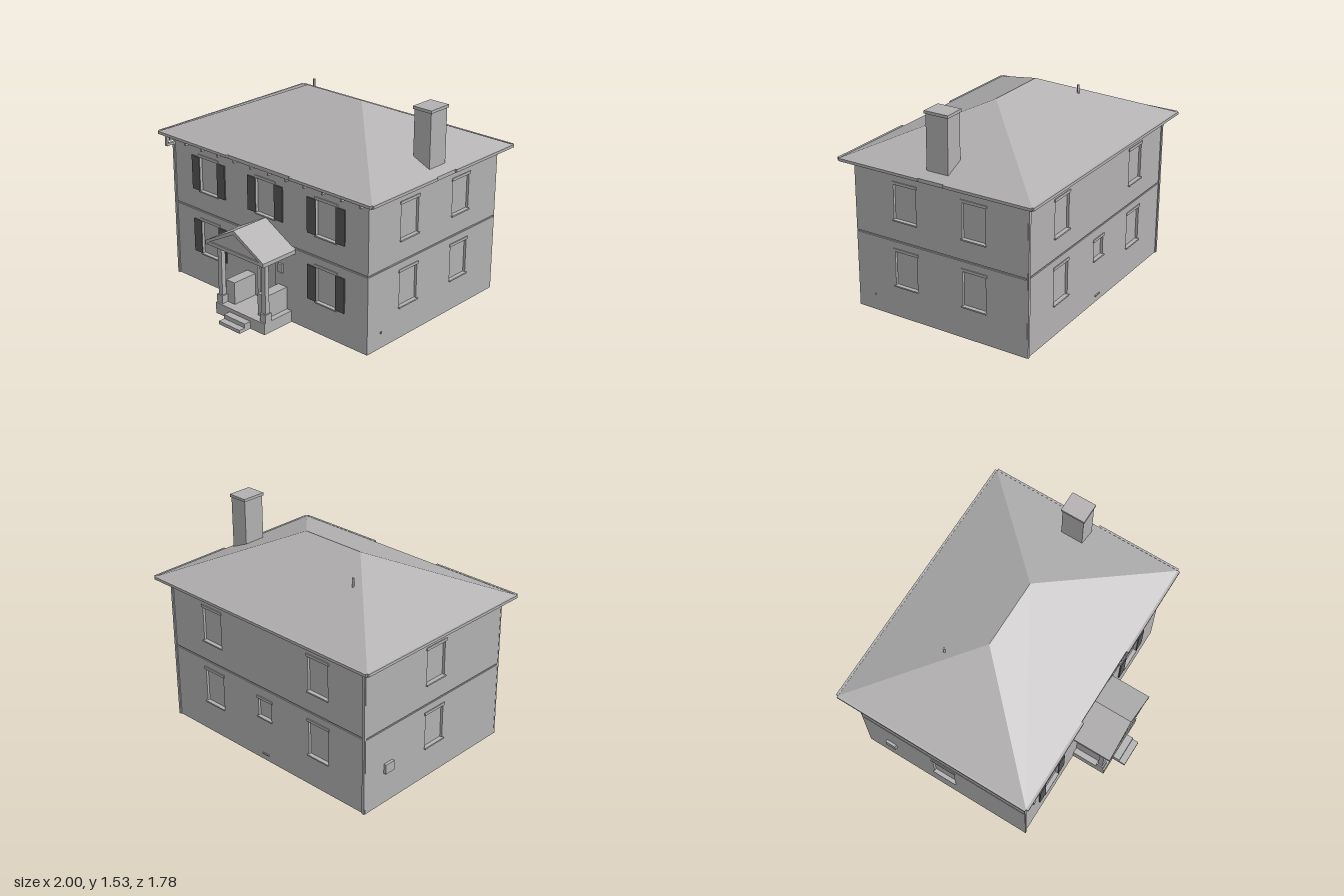
import * as THREE from 'three';

const stone = new THREE.MeshStandardMaterial({ color: 0xb2b0b1, side: THREE.DoubleSide });
stone.name = 'pale grey';
const dark = new THREE.MeshStandardMaterial({ color: 0x565656 });
dark.name = 'shutter grey';

const X = 0.912, ZF = 0.53, ZB = -0.805, ZC = (ZF + ZB) / 2, WALL_H = 1.07;
const GROOVE = [0.555, 0.567];

function add(parent, name, geometry, material = stone) {
  const mesh = new THREE.Mesh(geometry, material);
  mesh.name = name;
  parent.add(mesh);
  return mesh;
}

// Box given by its min and max on each axis
function box(parent, name, x0, x1, y0, y1, z0, z1, material) {
  const mesh = add(parent, name, new THREE.BoxGeometry(x1 - x0, y1 - y0, z1 - z0), material);
  mesh.position.set((x0 + x1) / 2, (y0 + y1) / 2, (z0 + z1) / 2);
  return mesh;
}

// Box without its front face, sunk behind a wall opening
function recess(parent, name, x0, x1, y0, y1, depth) {
  const mesh = box(parent, name, x0, x1, y0, y1, -depth, 0);
  const index = [...mesh.geometry.index.array];
  index.splice(24, 6);
  mesh.geometry.setIndex(index);
  mesh.geometry.clearGroups();
}

// Flat triangles and quads from corner lists
function faces(list) {
  const pos = [];
  for (const f of list)
    for (let i = 1; i < f.length - 1; i++) pos.push(...f[0], ...f[i], ...f[i + 1]);
  const g = new THREE.BufferGeometry();
  g.setAttribute('position', new THREE.Float32BufferAttribute(pos, 3));
  g.computeVertexNormals();
  return g;
}

function rect(PathType, x0, x1, y0, y1) {
  return new PathType([[x0, y0], [x1, y0], [x1, y1], [x0, y1]].map(p => new THREE.Vector2(...p)));
}

// One wall with two storeys, a groove between them and recessed openings
function wall(name, halfWidth, openings) {
  const g = new THREE.Group();
  g.name = name;
  for (const [y0, y1] of [[0, GROOVE[0]], [GROOVE[1], WALL_H]]) {
    const shape = rect(THREE.Shape, -halfWidth, halfWidth, y0, y1);
    for (const o of openings)
      if (o.y0 >= y0 && o.y1 <= y1) shape.holes.push(rect(THREE.Path, o.x - o.w, o.x + o.w, o.y0, o.y1));
    add(g, 'wallPanel', new THREE.ShapeGeometry(shape));
  }
  recess(g, 'beltGroove', -halfWidth, halfWidth, ...GROOVE, 0.008);
  for (const o of openings) {
    recess(g, o.door ? 'door' : 'windowPane', o.x - o.w, o.x + o.w, o.y0, o.y1, 0.018);
    box(g, 'lintel', o.x - o.w - 0.011, o.x + o.w + 0.011, o.y1, o.y1 + 0.02, -0.005, 0.006);
    if (!o.door) box(g, 'sill', o.x - o.w - 0.007, o.x + o.w + 0.007, o.y0 - 0.01, o.y0, -0.005, 0.012);
    if (o.shutters)
      for (const s of [-1, 1]) {
        const c = o.x + s * (o.w + 0.038);
        box(g, 'shutter', c - 0.038, c + 0.038, o.y0, o.y1, 0, 0.009, dark);
      }
  }
  return g;
}

const upper = (x, shutters = false) => ({ x, w: 0.088, y0: 0.717, y1: 0.967, shutters });
const lower = (x, shutters = false) => ({ x, w: 0.088, y0: 0.236, y1: 0.486, shutters });

function buildWalls(root) {
  const front = wall('frontWall', X, [
    upper(-0.552, true), upper(0, true), upper(0.552, true), lower(-0.552, true), lower(0.552, true),
    { x: 0, w: 0.085, y0: 0.082, y1: 0.435, door: true }]);
  front.position.z = ZF;

  const back = wall('backWall', X, [
    upper(-0.5), upper(0.5), lower(-0.5), lower(0.5), { x: 0, w: 0.062, y0: 0.335, y1: 0.47 }]);
  back.rotation.y = Math.PI;
  back.position.z = ZB;

  const half = (ZF - ZB) / 2;
  const u1 = ZC - 0.128, u2 = ZC + 0.407;
  const left = wall('leftWall', half, [upper(u1), upper(u2), lower(u1), lower(u2)]);
  left.rotation.y = Math.PI / 2;
  left.position.set(X, 0, ZC);

  const right = wall('rightWall', half, [upper(0), lower(0)]);
  right.rotation.y = -Math.PI / 2;
  right.position.set(-X, 0, ZC);
  root.add(front, back, left, right);

  // Small wall fittings
  box(root, 'meterBox', -X - 0.02, -X, 0.23, 0.3, -0.63, -0.55);
  box(root, 'sideVent', X, X + 0.006, 0.108, 0.122, 0.39, 0.402);
  box(root, 'backTap', -0.03, 0.03, 0.045, 0.053, ZB - 0.008, ZB);
}

function buildRoof(root) {
  // Hip roof with a flat soffit
  const y0 = 1.092, y1 = 1.42, ex = 0.985, zf = 0.59, zb = -0.875, rz = -0.145;
  const A = [-ex, y0, zf], B = [ex, y0, zf], C = [ex, y0, zb], D = [-ex, y0, zb];
  const L = [-0.25, y1, rz], R = [0.25, y1, rz];
  add(root, 'hipRoof', faces([[A, B, R, L], [B, C, R], [C, D, L, R], [D, A, L]]));
  box(root, 'soffit', -ex, ex, 1.066, y0, zb, zf);

  // Gutters, broken over the porch and by the chimney
  const g0 = 1.074, g1 = 1.094;
  for (const s of [-1, 1])
    box(root, 'frontGutter', Math.min(s * 0.29, s * ex), Math.max(s * 0.29, s * ex), g0, g1, zf, 0.607);
  box(root, 'backGutter', -ex, ex, g0, g1, -0.89, zb);
  box(root, 'rightGutter', -1, -ex, g0, g1, zb, zf);
  box(root, 'leftGutter', ex, 1, g0, g1, -0.04, zf);
  box(root, 'leftGutter', ex, 1, g0, g1, zb, -0.236);

  // Brackets under the front eave
  for (let i = 0; i < 12; i++) {
    const x = -0.887 + i * 0.1614;
    box(root, 'eaveBracket', x - 0.006, x + 0.006, 1.043, 1.066, ZF, 0.587);
  }

  // Downpipes
  box(root, 'frontDownpipe', -0.914, -0.894, 0, 1.02, ZF, ZF + 0.009);
  box(root, 'downpipeElbow', -0.914, -0.894, 1.003, 1.02, ZF, 0.607);
  box(root, 'downpipeDrop', -0.914, -0.894, 1.003, 1.08, 0.592, 0.607);
  for (const s of [-1, 1])
    box(root, 'backDownpipe', s * 0.9 - 0.01, s * 0.9 + 0.01, 0, 1.07, ZB - 0.008, ZB);

  // Chimney and vent pipe
  box(root, 'chimney', 0.778, 0.914, 1.07, 1.506, -0.22, -0.056);
  box(root, 'chimneyCap', 0.77, 0.921, 1.506, 1.526, -0.228, -0.048);
  const vent = add(root, 'ventPipe', new THREE.CylinderGeometry(0.008, 0.008, 0.12, 10));
  vent.position.set(-0.415, 1.31, -0.39);
}

function buildPorch(root) {
  const p = new THREE.Group();
  p.name = 'porch';
  root.add(p);
  box(p, 'porchFloor', -0.235, 0.235, 0, 0.083, ZF, 0.79);
  box(p, 'topStep', -0.1, 0.1, 0.025, 0.055, 0.79, 0.842);
  box(p, 'bottomStep', -0.1, 0.1, 0, 0.025, 0.79, 0.89);

  for (const s of [-1, 1]) {
    const c = s * 0.208, b = s * 0.152, l = s * 0.142;
    box(p, 'pedestal', c - 0.027, c + 0.027, 0.083, 0.142, 0.722, 0.778);
    box(p, 'column', c - 0.018, c + 0.018, 0.142, 0.5, 0.732, 0.768);
    box(p, 'capital', c - 0.025, c + 0.025, 0.497, 0.522, 0.725, 0.775);
    box(p, 'bench', b - 0.04, b + 0.04, 0.083, 0.247, ZF, 0.728);
    box(p, 'lantern', l - 0.022, l + 0.022, 0.345, 0.408, ZF, ZF + 0.014);
    box(p, 'eaveBeam', c - 0.025, c + 0.025, 0.522, 0.548, ZF, 0.775);
  }

  // Raking roof slabs as one chevron, with the pediment set back inside
  const pts = a => a.map(q => new THREE.Vector2(...q));
  const chevron = new THREE.Shape(pts([
    [-0.275, 0.522], [-0.255, 0.522], [-0.255, 0.54], [0, 0.673], [0.255, 0.54],
    [0.255, 0.522], [0.275, 0.522], [0.275, 0.55], [0, 0.703], [-0.275, 0.55]]));
  const roof = add(p, 'porchRoof', new THREE.ExtrudeGeometry(chevron, { depth: 0.31, bevelEnabled: false }));
  roof.position.z = 0.52;
  const gable = new THREE.Shape(pts([[-0.258, 0.522], [0.258, 0.522], [0.258, 0.542], [0, 0.68], [-0.258, 0.542]]));
  const pediment = add(p, 'pediment', new THREE.ExtrudeGeometry(gable, { depth: 0.3, bevelEnabled: false }));
  pediment.position.z = 0.515;
  box(p, 'entablature', -0.27, 0.27, 0.522, 0.546, 0.76, 0.825);
}

export function createModel() {
  const root = new THREE.Group();
  root.name = 'house';
  buildWalls(root);
  buildRoof(root);
  buildPorch(root);
  return root;
}
